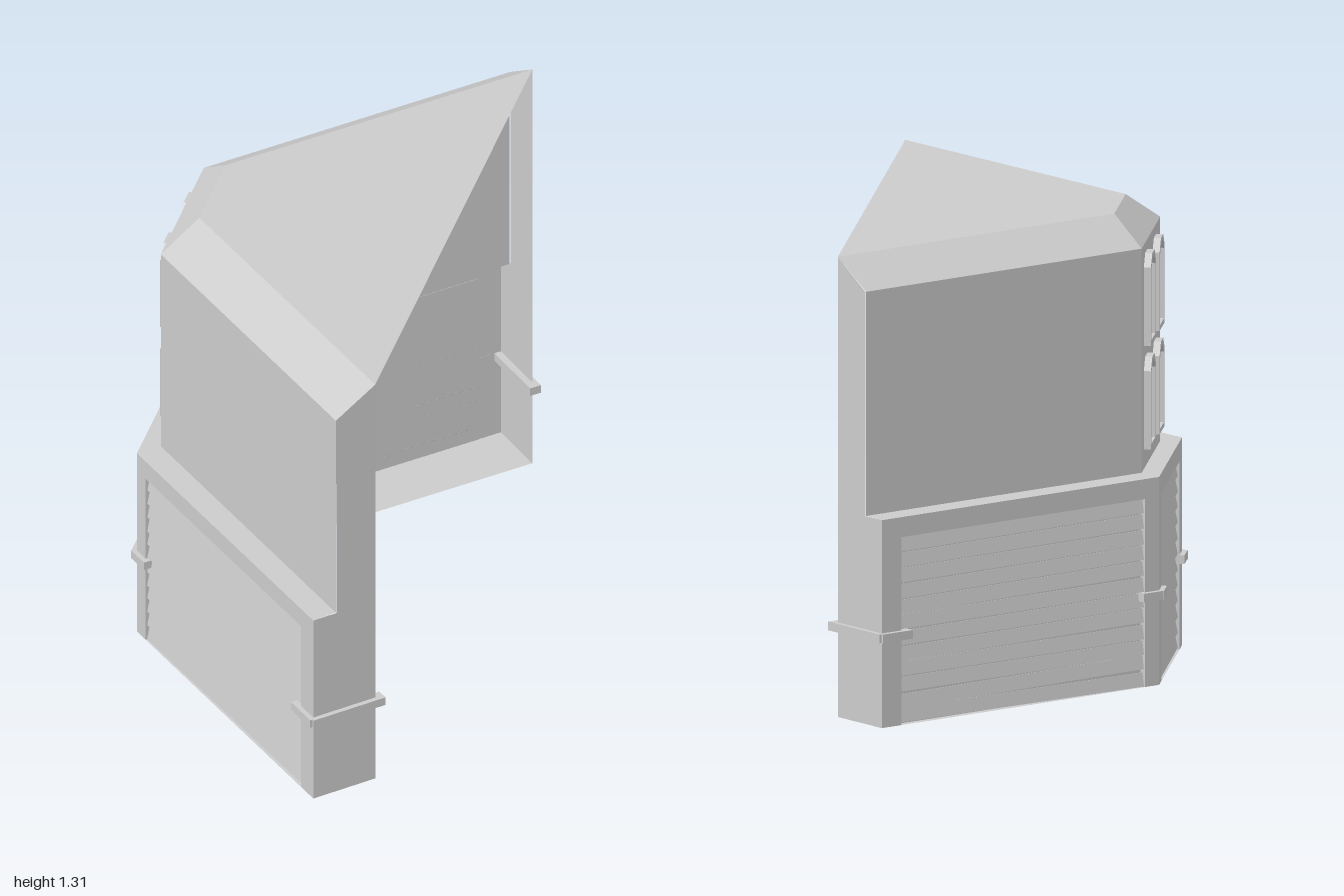
import * as THREE from 'three';

const mat = new THREE.MeshStandardMaterial({ color: 0xcccccc, flatShading: true, side: THREE.DoubleSide });

// Plan outlines [x, z] of the three-sided shell, from the -z end round to the +z end
const mirrored = (corner, end) => [[end[0], -end[1]], [corner[0], -corner[1]], corner, end];
const LOWER = mirrored([-0.425, 0.283], [0.275, 0.983]);
const UPPER = mirrored([-0.37, 0.23], [0.325, 0.927]);
const INNER = mirrored([-0.283, 0.14], [0.415, 0.838]);
const LEDGE = 0.592, EAVES = 1.23, TOP = 1.31;

function add(parent, name, geometry) {
  const mesh = new THREE.Mesh(geometry, mat);
  mesh.name = name;
  parent.add(mesh);
  return mesh;
}

function polygonShape(points) {
  return new THREE.Shape(points.map(p => new THREE.Vector2(p[0], p[1])));
}

// Strip of quads joining one outline at height ya to another at height yb
function band(a, ya, b, yb) {
  const pos = [];
  for (let i = 0; i < a.length - 1; i++) {
    const p = [a[i][0], ya, a[i][1]], q = [a[i + 1][0], ya, a[i + 1][1]];
    const r = [b[i + 1][0], yb, b[i + 1][1]], s = [b[i][0], yb, b[i][1]];
    pos.push(...p, ...q, ...r, ...p, ...r, ...s);
  }
  const g = new THREE.BufferGeometry();
  g.setAttribute('position', new THREE.Float32BufferAttribute(pos, 3));
  g.computeVertexNormals();
  return g;
}

// Group whose x runs along the wall from a to b and whose z points outward
function wallFrame(parent, name, a, b) {
  const g = new THREE.Group();
  g.name = name;
  g.position.set(a[0], 0, a[1]);
  g.rotation.y = Math.atan2(a[1] - b[1], b[0] - a[0]);
  parent.add(g);
  return { g, length: Math.hypot(b[0] - a[0], b[1] - a[1]) };
}

function strap(g, from, to) {
  add(g, 'strap', new THREE.BoxGeometry(to - from, 0.025, 0.035))
    .position.set((from + to) / 2, 0.257, -0.003);
}

let seed = 7;
function rand() {
  seed = (seed * 16807) % 2147483647;
  return seed / 2147483647 - 0.5;
}

// Framed lower wall with recessed clapboards
function sidingWall(parent, name, a, b, postA, postB) {
  const { g, length } = wallFrame(parent, name, a, b);
  const x0 = postA, x1 = length - postB, head = 0.535, depth = 0.02;
  const frame = polygonShape([[0, 0], [x0, 0], [x0, head], [x1, head], [x1, 0],
    [length, 0], [length, LEDGE], [0, LEDGE]]);
  add(g, 'wallFrame', new THREE.ExtrudeGeometry(frame, { depth, bevelEnabled: false }))
    .position.z = -depth;
  const w = x1 - x0, rows = 12, pitch = head / rows;
  add(g, 'backPanel', new THREE.PlaneGeometry(w, head)).position.set((x0 + x1) / 2, head / 2, -0.021);
  for (let i = 0; i < rows; i++) {
    const plank = add(g, 'plank', new THREE.BoxGeometry(w, pitch * 0.9, 0.008));
    plank.position.set((x0 + x1) / 2, (i + 0.5) * pitch, -0.013);
    plank.rotation.set(-0.2, 0, rand() * 0.014);
  }
  return { g, length };
}

// Window outline with clipped upper corners, inset by t
function windowOutline(t) {
  const w = 0.063 - t, c = 0.035 - t * 0.4, top = 0.258 - t;
  return [[-w, t], [w, t], [w, top - c], [w - c, top], [c - w, top], [-w, top - c]];
}

export function createModel() {
  const model = new THREE.Group();
  model.name = 'threeSidedShell';

  // Lower walls and corner straps
  const walls = [
    sidingWall(model, 'lowerSideWall', LOWER[0], LOWER[1], 0.07, 0.05),
    sidingWall(model, 'lowerNarrowWall', LOWER[1], LOWER[2], 0.058, 0.058),
    sidingWall(model, 'lowerSideWall', LOWER[2], LOWER[3], 0.05, 0.07),
  ];
  walls.forEach(({ g, length }, i) => {
    strap(g, -0.008, i === 0 ? 0.1 : 0.065);
    strap(g, length - (i === 2 ? 0.1 : 0.065), length + 0.008);
  });

  // Ledge, upper walls, sloped roof edge, flat roof and floor strip
  add(model, 'ledge', band(LOWER, LEDGE, UPPER, LEDGE));
  add(model, 'upperWalls', band(UPPER, LEDGE, UPPER, EAVES));
  add(model, 'roofSlope', band(UPPER, EAVES, INNER, TOP));
  add(model, 'floorStrip', band(LOWER, 0, INNER, 0));
  const roof = add(model, 'roof', new THREE.ShapeGeometry(polygonShape(INNER.map(p => [p[0], -p[1]]))));
  roof.rotation.x = -Math.PI / 2;
  roof.position.y = TOP;

  // Flat end faces closing the wall thickness
  for (const side of [1, -1]) {
    const pt = p => [p[0], p[1] * side];
    const lower = pt(LOWER[3]), inner = pt(INNER[3]);
    const { g, length } = side > 0
      ? wallFrame(model, 'endFace', lower, inner) : wallFrame(model, 'endFace', inner, lower);
    const step = Math.hypot(UPPER[3][0] - LOWER[3][0], UPPER[3][1] - LOWER[3][1]);
    const outline = [[0, 0], [length, 0], [length, TOP], [step, EAVES], [step, LEDGE], [0, LEDGE]];
    add(g, 'endPanel', new THREE.ShapeGeometry(
      polygonShape(outline.map(([u, y]) => [side > 0 ? u : length - u, y]))));
    strap(g, side > 0 ? -0.008 : -0.025, length + (side > 0 ? 0.025 : 0.008));
  }

  // Four framed windows on the narrow upper wall
  for (const z of [-0.115, 0.1]) {
    for (const y of [0.648, 0.943]) {
      const win = new THREE.Group();
      win.name = 'window';
      win.position.set(UPPER[1][0], y, z);
      win.rotation.y = -Math.PI / 2;
      const frame = polygonShape(windowOutline(0));
      frame.holes.push(polygonShape(windowOutline(0.014)));
      add(win, 'windowFrame', new THREE.ExtrudeGeometry(frame, { depth: 0.02, bevelEnabled: false }));
      add(win, 'windowPane', new THREE.ShapeGeometry(polygonShape(windowOutline(0.014)))).position.z = 0.006;
      model.add(win);
    }
  }
  return model;
}
